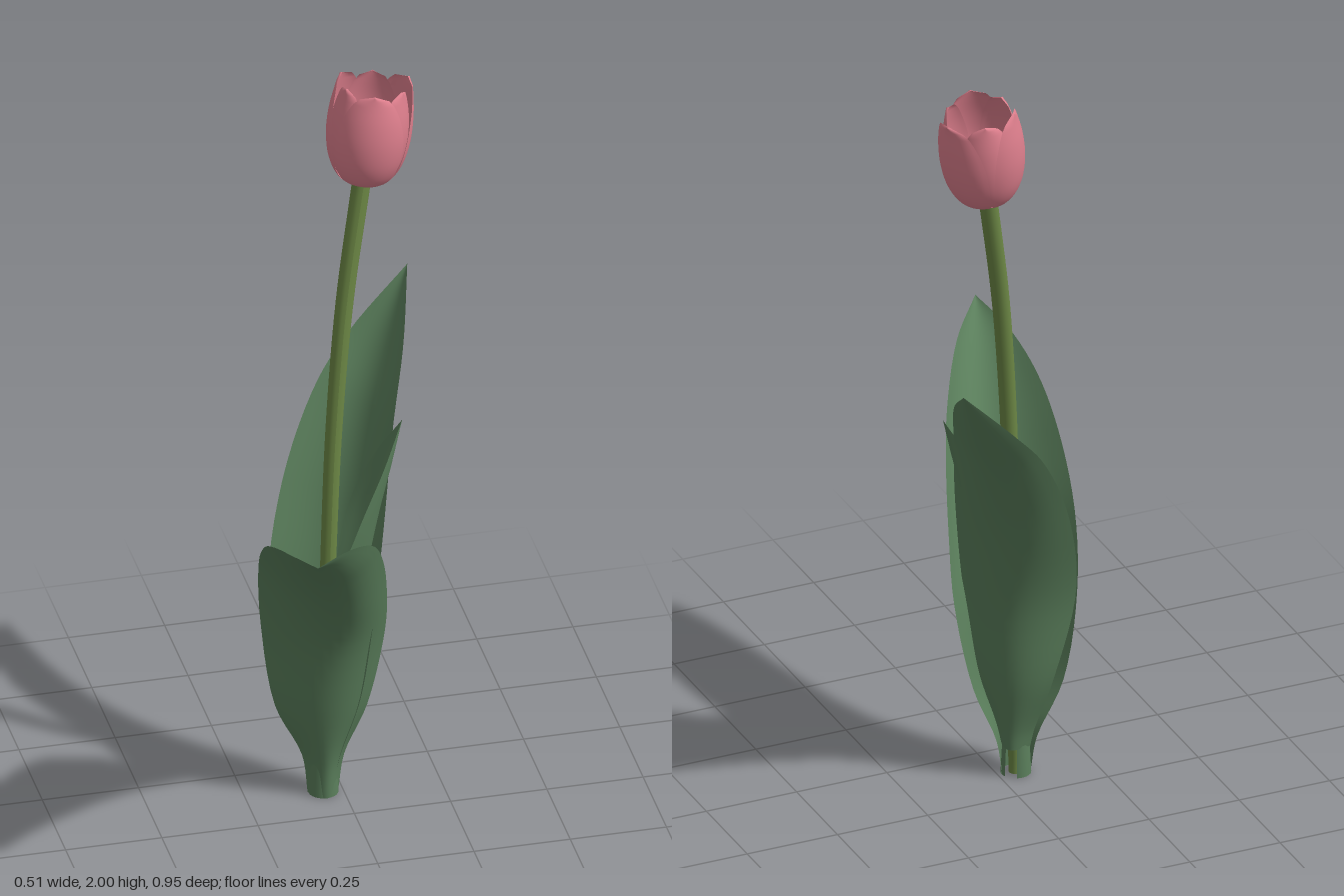
import * as THREE from 'three';
import { ParametricGeometry } from 'three/addons/geometries/ParametricGeometry.js';

const paint = (name, color, side = THREE.FrontSide) => {
  const m = new THREE.MeshStandardMaterial({ color, side });
  m.name = name;
  return m;
};

function part(name, geometry, material) {
  const mesh = new THREE.Mesh(geometry, material);
  mesh.name = name;
  return mesh;
}

function surface(fn, across, along) {
  const geo = new ParametricGeometry(fn, across, along);
  geo.computeVertexNormals();
  return geo;
}

// Leaf: three long curves (left edge, midrib, right edge) joined by parabolic arcs
function leafGeometry(rows, tip) {
  const [left, mid, right] = [0, 1, 2].map(i => new THREE.CatmullRomCurve3(
    [...rows.map(r => r[i]), tip].map(p => new THREE.Vector3(...p))));
  return surface((u, v, target) => {
    const a = left.getPoint(v), m = mid.getPoint(v), b = right.getPoint(v);
    const c = m.multiplyScalar(2).addScaledVector(a, -0.5).addScaledVector(b, -0.5);
    target.set(0, 0, 0)
      .addScaledVector(a, (1 - u) * (1 - u))
      .addScaledVector(c, 2 * u * (1 - u))
      .addScaledVector(b, u * u);
  }, 14, 40);
}

// Cup outline shared by the petals: radius and height along the flower axis
const cup = new THREE.SplineCurve([
  [0.012, 0], [0.062, 0.018], [0.092, 0.067], [0.105, 0.135], [0.102, 0.207], [0.085, 0.285],
].map(p => new THREE.Vector2(...p)));

function petalGeometry(azimuth, scale, halfAngle, height, flare) {
  return surface((u, v, target) => {
    const s = 2 * u - 1;
    const p = cup.getPoint(v);
    const a = azimuth + s * halfAngle * Math.sqrt(Math.max(0, 1 - v ** 5));
    const r = p.x * scale + flare * v ** 6 - 0.006 * s * s * v;
    target.set(Math.sin(a) * r, p.y * height, Math.cos(a) * r);
  }, 18, 24);
}

export function createModel() {
  const leafGreen = paint('leaf green', 0x5a7e5b, THREE.DoubleSide);
  const stemGreen = paint('stem green', 0x6c8745);
  const petalPink = paint('petal pink', 0xde7f8d, THREE.DoubleSide);
  const cream = paint('cream throat', 0xe0bf94, THREE.DoubleSide);
  const pistilGreen = paint('pistil green', 0x759a55);

  const model = new THREE.Group();
  model.name = 'flower plant';

  // Stem: a tapered cylinder bent along a curve
  const path = new THREE.CatmullRomCurve3([
    [-0.05, 0, -0.125], [-0.045, 0.35, -0.13], [-0.033, 0.7, -0.14],
    [-0.014, 1.05, -0.16], [0.021, 1.4, -0.19], [0.075, 1.732, -0.228],
  ].map(p => new THREE.Vector3(...p)));
  const stem = new THREE.CylinderGeometry(0.024, 0.018, 1, 16, 40);
  const pos = stem.attributes.position;
  for (let i = 0; i < pos.count; i++) {
    const c = path.getPoint(pos.getY(i) + 0.5);
    pos.setXYZ(i, pos.getX(i) + c.x, c.y, pos.getZ(i) + c.z);
  }
  stem.computeVertexNormals();
  model.add(part('stem', stem, stemGreen));

  // Sheath wrapping the foot of the stem, open toward the back leaf
  const sheath = part('leafSheath', new THREE.CylinderGeometry(0.034, 0.039, 0.1, 24, 1, true,
    THREE.MathUtils.degToRad(160), THREE.MathUtils.degToRad(310)), leafGreen);
  sheath.position.set(-0.05, 0.05, -0.127);
  model.add(sheath);

  // Leaves: rows of left edge, midrib, right edge, then the tip
  model.add(part('frontLeaf', leafGeometry([
    [[-0.09, 0, -0.13], [-0.05, 0, -0.087], [-0.01, 0, -0.13]],
    [[-0.1, 0.1, -0.147], [-0.05, 0.1, -0.085], [0.005, 0.1, -0.13]],
    [[-0.168, 0.25, -0.157], [-0.05, 0.25, -0.065], [0.06, 0.25, -0.11]],
    [[-0.205, 0.5, -0.16], [-0.055, 0.48, -0.025], [0.1, 0.49, -0.08]],
    [[-0.225, 0.7, -0.1], [-0.07, 0.64, 0.06], [0.088, 0.66, -0.02]],
    [[-0.247, 0.85, 0.05], [-0.1, 0.77, 0.16], [0.05, 0.803, 0.08]],
    [[-0.255, 0.94, 0.2], [-0.13, 0.87, 0.26], [0.002, 0.897, 0.18]],
    [[-0.242, 1.0, 0.35], [-0.172, 0.967, 0.37], [-0.1, 0.993, 0.345]],
  ], [-0.21, 1.035, 0.475]), leafGreen));

  model.add(part('backLeaf', leafGeometry([
    [[-0.078, 0.08, -0.153], [-0.02, 0.08, -0.155], [-0.022, 0.08, -0.097]],
    [[-0.085, 0.13, -0.163], [-0.016, 0.13, -0.159], [-0.012, 0.13, -0.09]],
    [[-0.115, 0.28, -0.208], [0, 0.28, -0.18], [0.03, 0.28, -0.07]],
    [[-0.165, 0.53, -0.238], [0.02, 0.52, -0.2], [0.052, 0.5, -0.03]],
    [[-0.11, 0.8, -0.325], [0.05, 0.76, -0.26], [0.09, 0.77, -0.065]],
    [[0, 1.03, -0.41], [0.11, 0.98, -0.335], [0.14, 1.02, -0.165]],
    [[0.1, 1.15, -0.453], [0.17, 1.13, -0.4], [0.2, 1.18, -0.3]],
  ], [0.253, 1.307, -0.476]), leafGreen));

  model.add(part('innerLeaf', leafGeometry([
    [[-0.035, 0.1, -0.1], [-0.02, 0.1, -0.125], [-0.035, 0.1, -0.15]],
    [[-0.03, 0.35, -0.065], [0.02, 0.35, -0.12], [-0.02, 0.35, -0.175]],
    [[-0.04, 0.62, -0.044], [0.055, 0.6, -0.12], [0, 0.62, -0.2]],
    [[0.02, 0.8, -0.047], [0.09, 0.78, -0.13], [0.04, 0.8, -0.21]],
    [[0.1, 0.95, -0.09], [0.126, 0.93, -0.135], [0.1, 0.95, -0.18]],
  ], [0.158, 1.058, -0.14]), leafGreen));

  // Flower head, tilted along the end of the stem
  const flower = new THREE.Group();
  flower.name = 'flowerHead';
  flower.position.set(0.08, 1.715, -0.234);
  flower.quaternion.setFromUnitVectors(new THREE.Vector3(0, 1, 0),
    new THREE.Vector3(0.033, 0.28, -0.021).normalize());
  [0.006, 0.02, 0.01].forEach((flare, i) => {
    const a = THREE.MathUtils.degToRad(-12 + i * 120);
    flower.add(part('outerPetal', petalGeometry(a, 1.03, 1.0, 0.985, flare), petalPink));
    flower.add(part('innerPetal', petalGeometry(a + Math.PI / 3, 0.95, 0.95, 0.97, 0.004), petalPink));
  });

  // Cream star lining the bottom of the cup, one soft point per petal
  const throat = surface((u, v, target) => {
    const a = u * Math.PI * 2;
    const p = cup.getPoint(v * (0.17 + 0.05 * Math.abs(Math.cos(3 * a))));
    target.set(Math.sin(a) * p.x * 0.87, p.y + 0.005, Math.cos(a) * p.x * 0.87);
  }, 48, 8);
  flower.add(part('throat', throat, cream));

  // Pistil
  const style = part('pistilColumn', new THREE.CylinderGeometry(0.014, 0.018, 0.05, 14), pistilGreen);
  style.position.set(-0.008, 0.03, 0.003);
  const stigma = part('pistilTip', new THREE.SphereGeometry(0.025, 18, 12), pistilGreen);
  stigma.position.set(-0.015, 0.055, 0.006);
  flower.add(style, stigma);

  model.add(flower);
  return model;
}
